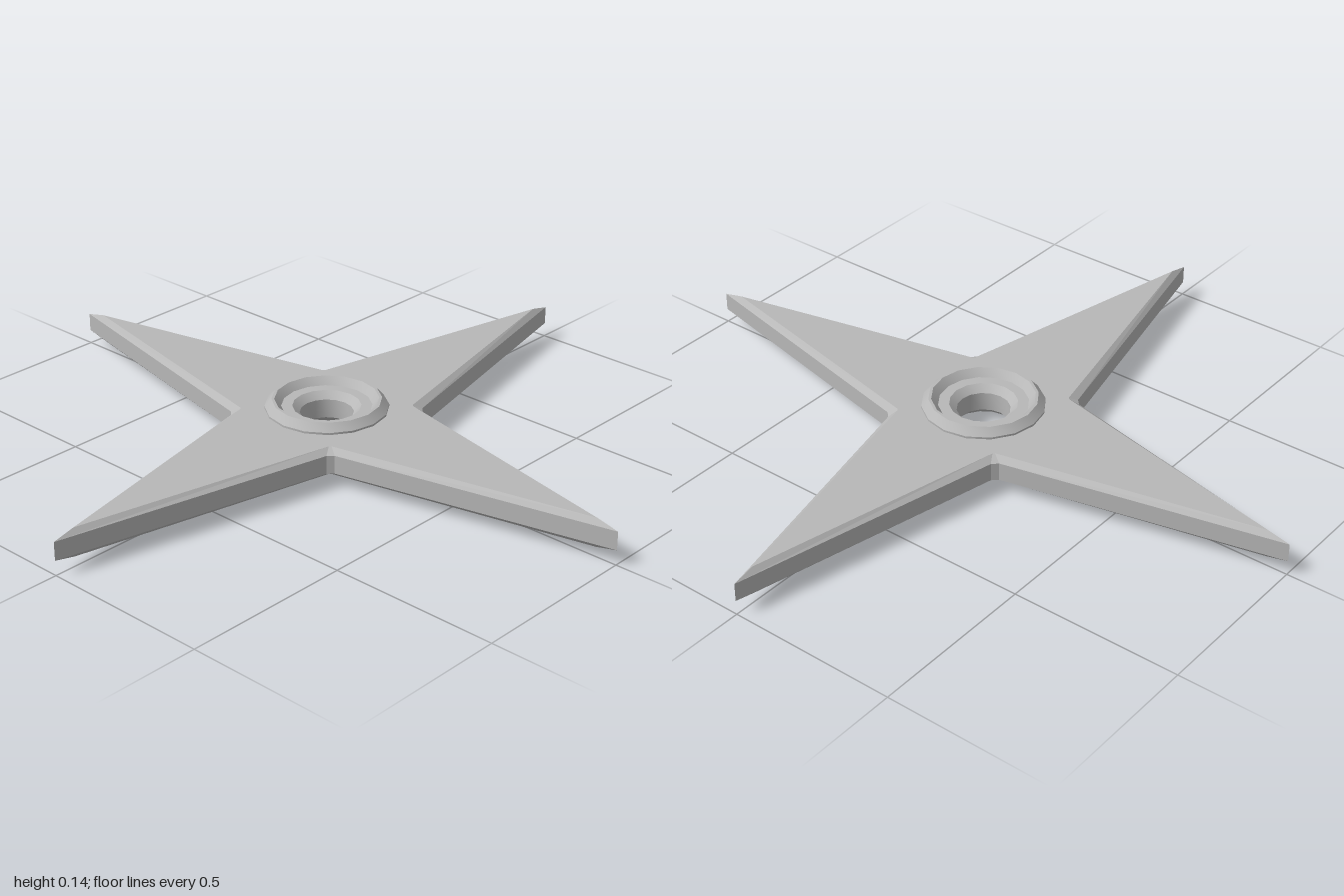
import * as THREE from 'three';
import { toCreasedNormals } from 'three/addons/utils/BufferGeometryUtils.js';

const MID = 0.07; // height of the symmetry plane

// Four-pointed outline: one tip and two corner points per quarter turn
function starLoop(tip, near, far, y) {
  const loop = [];
  for (let q = 0; q < 4; q++) {
    const c = Math.round(Math.cos(q * Math.PI / 2));
    const s = Math.round(Math.sin(q * Math.PI / 2));
    for (const [x, z] of [[tip, 0], [far, near], [near, far]]) {
      loop.push([x * c - z * s, y, x * s + z * c]);
    }
  }
  return loop;
}

// Joins successive loops with quads
function skin(loops) {
  const pos = [];
  for (let i = 0; i < loops.length - 1; i++) {
    const low = loops[i], high = loops[i + 1], n = low.length;
    for (let j = 0; j < n; j++) {
      const k = (j + 1) % n;
      pos.push(...low[j], ...high[j], ...low[k], ...low[k], ...high[j], ...high[k]);
    }
  }
  const geo = new THREE.BufferGeometry();
  geo.setAttribute('position', new THREE.Float32BufferAttribute(pos, 3));
  geo.computeVertexNormals();
  return geo;
}

export function createModel() {
  const group = new THREE.Group();
  const steel = new THREE.MeshStandardMaterial({ color: 0xb8b8b8 });
  steel.name = 'steel';

  // Bevelled star plate, open in the middle beneath the hub
  const plate = new THREE.Mesh(skin([
    starLoop(0.12, 0.084, 0.086, MID - 0.042),
    starLoop(0.935, 0.168, 0.173, MID - 0.042),
    starLoop(1, 0.182, 0.198, MID - 0.027),
    starLoop(1, 0.182, 0.198, MID + 0.027),
    starLoop(0.935, 0.168, 0.173, MID + 0.042),
    starLoop(0.12, 0.084, 0.086, MID + 0.042),
  ]), steel);
  plate.name = 'starPlate';
  group.add(plate);

  // Raised hub rim with a stepped hole, mirrored above and below
  const half = [
    [0.175, 0.048], [0.155, 0.07], [0.147, 0.07], [0.128, 0.048],
    [0.097, 0.048], [0.076, 0.028],
  ];
  const profile = [
    ...half.slice().reverse().map(([r, h]) => new THREE.Vector2(r, MID - h)),
    ...half.map(([r, h]) => new THREE.Vector2(r, MID + h)),
  ];
  profile.push(profile[0].clone());
  const hub = new THREE.Mesh(toCreasedNormals(new THREE.LatheGeometry(profile, 16), 0.5), steel);
  hub.name = 'hubRing';
  group.add(hub);

  return group;
}
